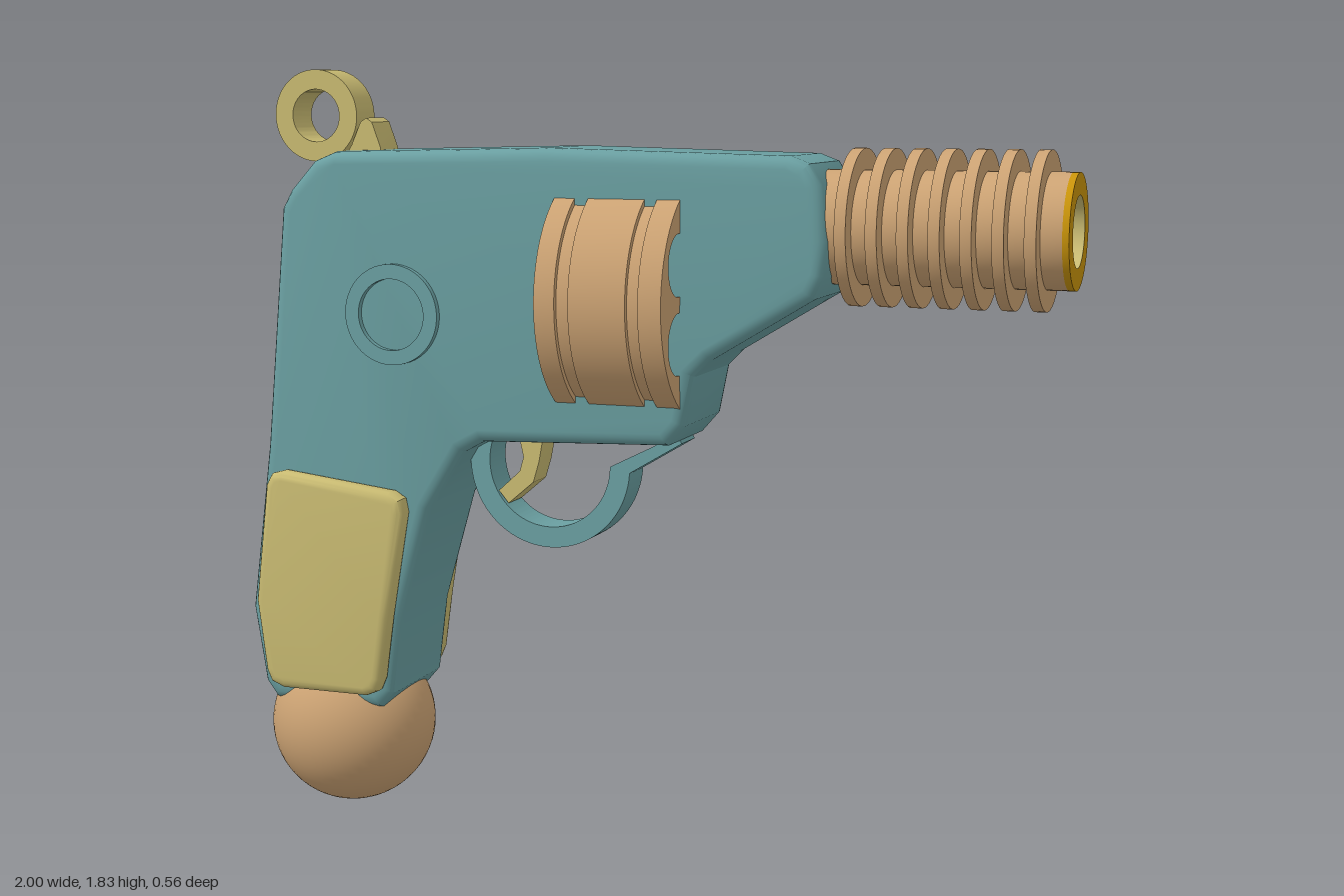
import * as THREE from 'three';
import { toCreasedNormals } from 'three/addons/utils/BufferGeometryUtils.js';

const material = (name, color) => {
  const m = new THREE.MeshStandardMaterial({ color });
  m.name = name;
  return m;
};

export function createModel() {
  const teal = material('teal', 0x6a9fa1);
  const tan = material('tan', 0xcba273);
  const khaki = material('khaki', 0xc9bb72);
  const amber = material('amber', 0xc8930a);
  const model = new THREE.Group();
  model.name = 'toyRayBlaster';

  const add = (name, geometry, mat, parent = model) => {
    const mesh = new THREE.Mesh(geometry, mat);
    mesh.name = name;
    parent.add(mesh);
    return mesh;
  };
  const outline = pts => new THREE.Shape(pts.map(p => new THREE.Vector2(...p)));
  const circle = (x, y, r, cls = THREE.Shape) => {
    const c = new cls();
    c.absarc(x, y, r, 0, Math.PI * 2, false);
    return c;
  };
  // Extrusion from z0 to z1 that keeps its outline when bevelled
  const slab = (shape, z0, z1, bevel = 0) => {
    const g = new THREE.ExtrudeGeometry(shape, {
      depth: z1 - z0 - 2 * bevel, curveSegments: 48, bevelEnabled: bevel > 0,
      bevelSize: bevel, bevelThickness: bevel, bevelOffset: -bevel, bevelSegments: 4,
    });
    g.translate(0, 0, z0 + bevel);
    return toCreasedNormals(g, 0.55);
  };
  // Lathe along x; points are [x, radius]
  const turned = (pts, y) => {
    const g = new THREE.LatheGeometry(pts.map(([x, r]) => new THREE.Vector2(r, x)), 48);
    g.rotateZ(-Math.PI / 2);
    g.translate(0, y, 0);
    return toCreasedNormals(g, 0.55);
  };

  // Body and handle in one rounded slab
  const body = outline([
    [-0.94, 0.28], [-0.97, 0.32], [-1.0, 0.51], [-0.945, 0.92], [-0.89, 1.5],
    [-0.865, 1.545], [-0.80, 1.615], [-0.745, 1.637], [-0.2, 1.65], [0.38, 1.637],
    [0.425, 1.62], [0.453, 1.575], [0.47, 1.45], [0.464, 1.37], [0.44, 1.32],
    [0.2, 1.175], [0.16, 1.135], [0.137, 1.02], [0.095, 0.972], [-0.37, 0.957],
    [-0.42, 0.93], [-0.51, 0.785], [-0.59, 0.51], [-0.615, 0.32], [-0.65, 0.28],
  ]);
  add('body', slab(body, -0.15, 0.15, 0.03), teal);

  // Handle ball
  const ball = new THREE.SphereGeometry(0.205, 48, 32);
  ball.translate(-0.795, 0.205, 0);
  add('handleBall', ball, tan);

  // Grip plates and round side bosses, mirrored front to back
  const grip = outline([
    [-0.925, 0.83], [-0.91, 0.858], [-0.88, 0.866], [-0.59, 0.832], [-0.562, 0.815],
    [-0.555, 0.78], [-0.6, 0.52], [-0.622, 0.365], [-0.635, 0.335], [-0.665, 0.322],
    [-0.89, 0.322], [-0.925, 0.335], [-0.938, 0.365], [-0.96, 0.54],
  ]);
  const boss = circle(-0.59, 1.255, 0.12);
  boss.holes.push(circle(-0.59, 1.255, 0.085, THREE.Path));
  for (const [side, z] of [['left', 1], ['right', -1]]) {
    const span = (a, b) => (z > 0 ? [a, b] : [-b, -a]);
    add(side + 'GripPlate', slab(grip, ...span(0.14, 0.2), 0.022), khaki);
    add(side + 'SideBoss', slab(boss, ...span(0.14, 0.166)), teal);
  }

  // Drum with through holes and two grooves
  const drum = new THREE.Group();
  drum.name = 'drum';
  drum.position.y = 1.3;
  model.add(drum);
  const bands = [
    [-0.175, -0.125, 0.28], [-0.125, -0.092, 0.267], [-0.092, 0.045, 0.28],
    [0.045, 0.075, 0.267], [0.075, 0.13, 0.28],
  ];
  for (const [x0, x1, r] of bands) {
    const disc = circle(0, 0, r);
    for (const deg of [30, 150, 210, 330]) {
      const a = THREE.MathUtils.degToRad(deg);
      disc.holes.push(circle(0.18 * Math.cos(a), 0.18 * Math.sin(a), 0.072, THREE.Path));
    }
    const g = slab(disc, x0, x1);
    g.rotateY(Math.PI / 2);
    add('drumBand', g, tan, drum);
  }

  // Finned barrel, muzzle ring and bore
  const barrel = [[0.38, 0.13]];
  for (let i = 0; i < 7; i++) {
    const x = 0.508 + i * 0.0695;
    barrel.push([x - 0.013, 0.13], [x - 0.013, 0.178], [x + 0.013, 0.178], [x + 0.013, 0.13]);
  }
  barrel.push([0.985, 0.13]);
  add('finnedBarrel', turned(barrel, 1.475), tan);
  add('muzzleRing', turned([[0.985, 0.13], [1.0, 0.13], [1.0, 0.08]], 1.475), amber);
  add('bore', turned([[1.0, 0.08], [0.42, 0.08]], 1.475), khaki);

  // Rear ring and sight
  const ring = circle(-0.84, 1.72, 0.11);
  ring.holes.push(circle(-0.84, 1.72, 0.063, THREE.Path));
  add('rearRing', slab(ring, -0.047, 0.047), khaki);
  const sight = outline([
    [-0.77, 1.61], [-0.665, 1.61], [-0.668, 1.645], [-0.69, 1.705], [-0.705, 1.715],
    [-0.72, 1.705], [-0.745, 1.65],
  ]);
  add('rearSight', slab(sight, -0.047, 0.047), khaki);

  // Trigger and its guard
  const trigger = outline([
    [-0.32, 0.98], [-0.25, 0.98], [-0.265, 0.9], [-0.28, 0.85], [-0.345, 0.795],
    [-0.37, 0.825], [-0.315, 0.875], [-0.305, 0.91],
  ]);
  add('trigger', slab(trigger, -0.04, 0.04), khaki);
  const guard = new THREE.Shape();
  guard.absarc(-0.235, 0.9, 0.205, Math.PI * 0.9, Math.PI * 1.98, false);
  guard.lineTo(0.1, 0.965);
  guard.lineTo(0.09, 0.985);
  guard.lineTo(-0.08, 0.9);
  guard.absarc(-0.235, 0.9, 0.155, Math.PI * 2, Math.PI * 0.9, true);
  add('triggerGuard', slab(guard, -0.047, 0.047), teal);

  return model;
}
